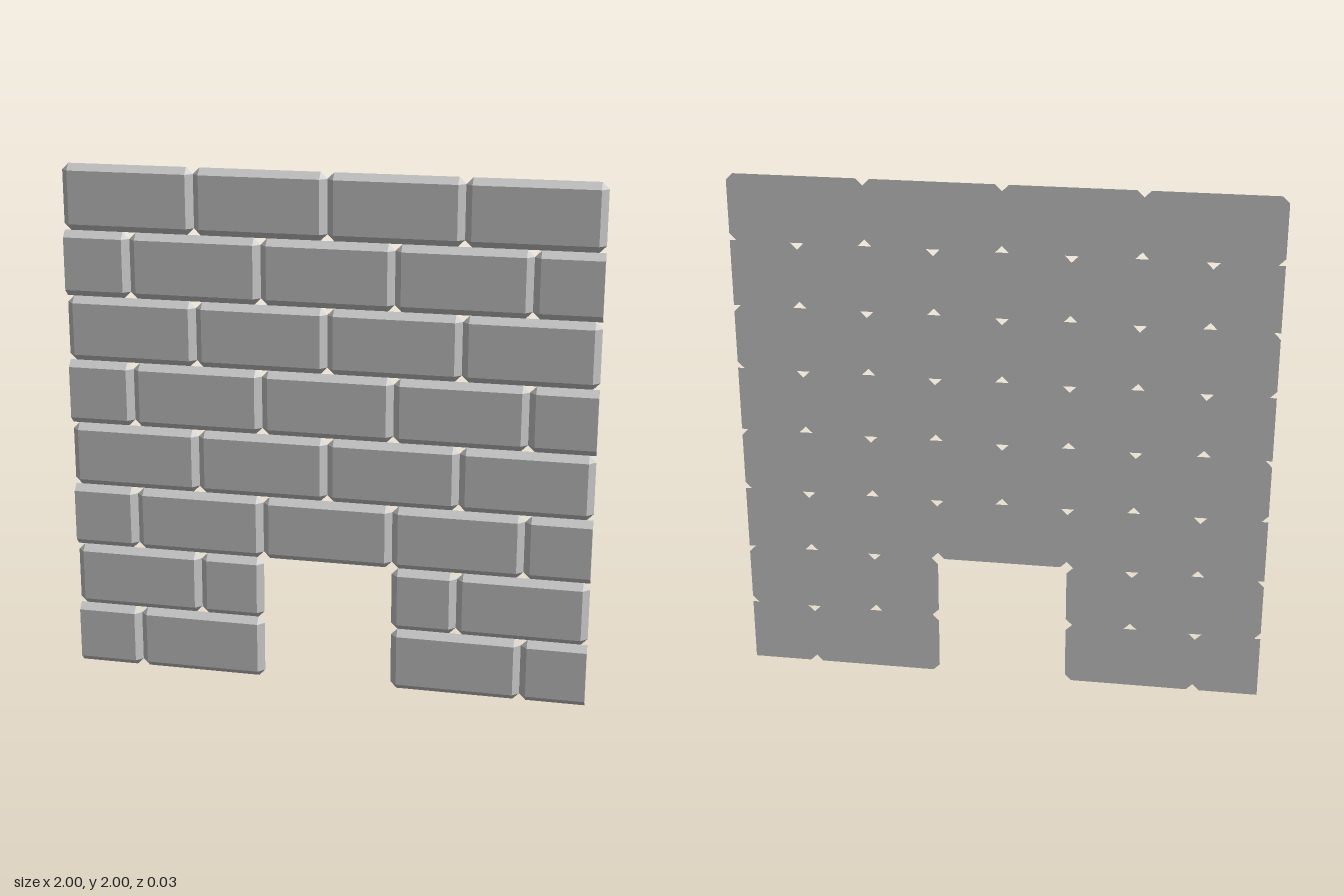
import * as THREE from 'three';
import { ConvexGeometry } from 'three/addons/geometries/ConvexGeometry.js';

const ROW = 0.25;      // height of one course
const BEVEL = 0.025;   // width of the sloped edges
const HALF = 0.0125;   // half the wall thickness

// One brick: flat back with clipped corners, bevelled front.
// An end that is cut by the edge of the wall stays square.
function brickGeometry(x0, x1, y0, cutLeft, cutRight) {
  const y1 = y0 + ROW;
  const points = [];
  const add = (x, y, z) => points.push(new THREE.Vector3(x, y, z));
  for (const [x, inward, cut] of [[x0, 1, cutLeft], [x1, -1, cutRight]]) {
    const inset = cut ? x : x + inward * BEVEL;
    for (const [y, up] of [[y0, 1], [y1, -1]]) {
      add(inset, y + up * BEVEL, HALF);
      add(inset, y, -HALF);
      if (!cut) add(x, y + up * BEVEL, -HALF);
    }
  }
  return new ConvexGeometry(points);
}

export function createModel() {
  const wall = new THREE.Group();
  wall.name = 'brickWall';
  const material = new THREE.MeshStandardMaterial({ color: 0xcccccc, flatShading: true });

  // Joint positions for the two alternating courses
  const wholeCourse = [-1, -0.5, 0, 0.5, 1];
  const shiftedCourse = [-1, -0.75, -0.25, 0.25, 0.75, 1];

  for (let row = 0; row < 8; row++) {
    const course = new THREE.Group();
    course.name = `course${row + 1}`;
    const shifted = row % 2 === 0;
    const joints = shifted ? shiftedCourse : wholeCourse;

    for (let i = 0; i < joints.length - 1; i++) {
      let x0 = joints[i];
      let x1 = joints[i + 1];
      // Doorway in the two lowest courses
      if (row < 2) {
        if (x0 < 0 && x1 > -0.25) x1 = -0.25;
        if (x1 > 0 && x0 < 0.25) x0 = 0.25;
        if (x1 - x0 < 0.01) continue;
      }
      const geometry = brickGeometry(x0, x1, row * ROW, shifted && x0 === -1, shifted && x1 === 1);
      const brick = new THREE.Mesh(geometry, material);
      brick.name = 'brick';
      course.add(brick);
    }
    wall.add(course);
  }
  return wall;
}
